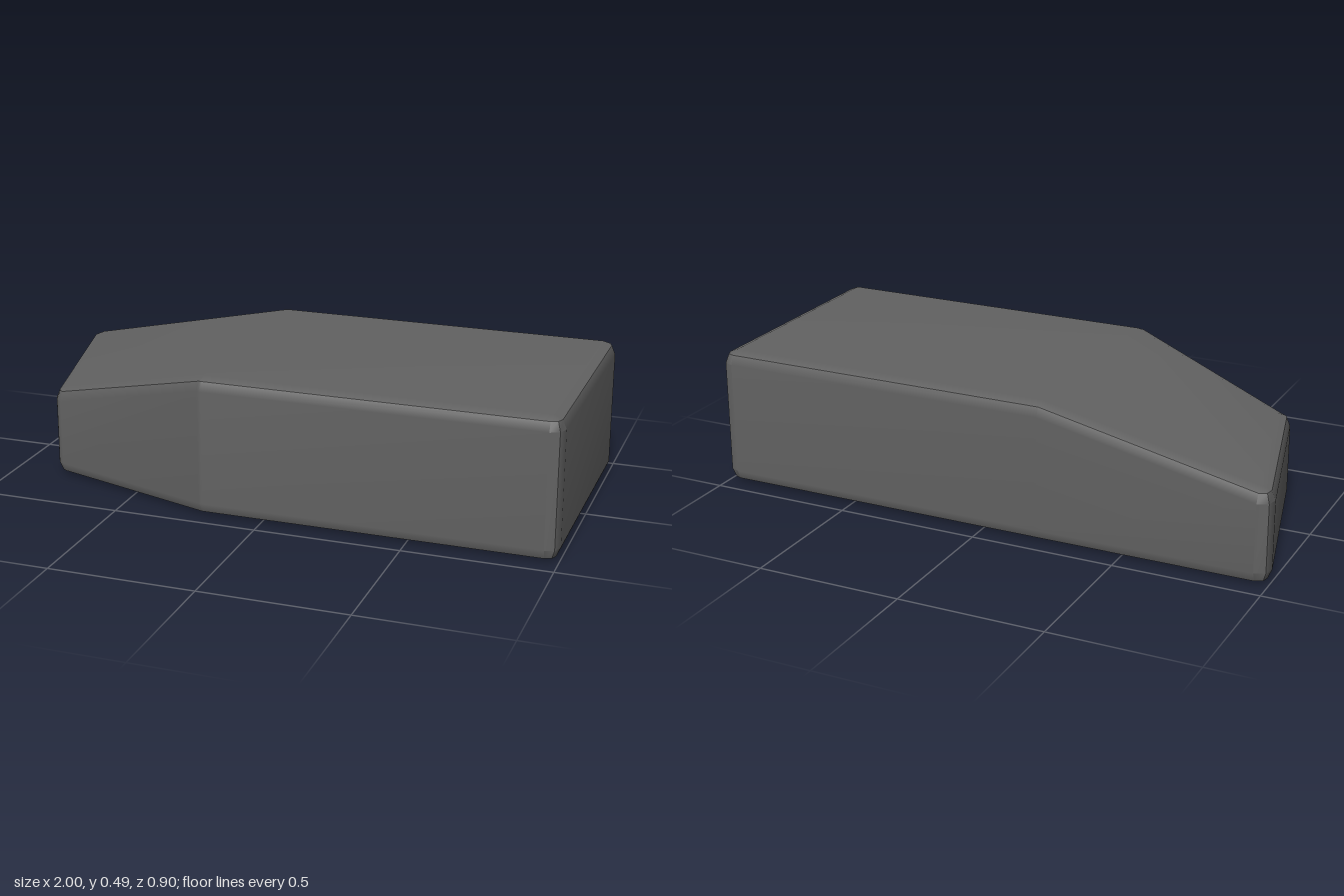
import * as THREE from 'three';

const R = 0.045; // edge rounding
const STEPS = 2; // bevel segments
const CREASE = Math.cos(Math.PI / 6); // sharper edges than this stay hard

// Footprint corners with the height of the top above each: [x, z, height]
const CORNERS = [
  [-1.015, -0.45, 0.325], [-0.21, -0.45, 0.485], [1, -0.45, 0.485],
  [1, 0.45, 0.485], [-0.21, 0.45, 0.485], [-0.835, 0.255, 0.322],
];

// Inset each corner by R and keep the outward angles of its two edges
function insetCorners() {
  const n = CORNERS.length;
  const normals = CORNERS.map(([x, z], i) => {
    const [nx, nz] = CORNERS[(i + 1) % n];
    return new THREE.Vector2(nz - z, x - nx).normalize();
  });
  return CORNERS.map(([x, z, h], i) => {
    const a = normals[(i + n - 1) % n], b = normals[i];
    const k = R / (1 + a.dot(b));
    const start = Math.atan2(a.y, a.x);
    const turn = Math.atan2(a.x * b.y - a.y * b.x, a.dot(b));
    return { x: x - (a.x + b.x) * k, z: z - (a.y + b.y) * k, h, start, turn };
  });
}

// Turn triangles into a geometry with area-weighted normals and hard creases
function creasedGeometry(points, index) {
  const key = (p) => p.toArray().map((v) => Math.round(v * 1e4)).join();
  const triangles = [], shared = {};
  for (let i = 0; i < index.length; i += 3) {
    const corners = [0, 1, 2].map((k) => points[index[i + k]]);
    const [a, b, c] = corners;
    const area = b.clone().sub(a).cross(c.clone().sub(a));
    if (area.length() < 1e-8) continue;
    const face = { corners, area, normal: area.clone().normalize() };
    triangles.push(face);
    for (const p of corners) (shared[key(p)] ??= []).push(face);
  }

  const positions = [], normals = [];
  for (const face of triangles) {
    for (const p of face.corners) {
      const normal = new THREE.Vector3();
      for (const other of shared[key(p)]) {
        if (other.normal.dot(face.normal) > CREASE) normal.add(other.area);
      }
      positions.push(...p.toArray());
      normals.push(...normal.normalize().toArray());
    }
  }
  const geometry = new THREE.BufferGeometry();
  geometry.setAttribute('position', new THREE.Float32BufferAttribute(positions, 3));
  geometry.setAttribute('normal', new THREE.Float32BufferAttribute(normals, 3));
  return geometry;
}

function roundedBlock() {
  const corners = insetCorners();
  const points = [], index = [];
  const count = corners.length * (STEPS + 1);

  // Rings from the bottom cap, around the lower bevel, up to the top cap
  const levels = (STEPS + 1) * 2;
  for (let l = 0; l < levels; l++) {
    const upper = l > STEPS;
    const phi = ((upper ? l - STEPS - 1 : l - STEPS) / STEPS) * Math.PI / 2;
    const r = R * Math.cos(phi);
    for (const c of corners) {
      const y = (upper ? c.h - R : R) + R * Math.sin(phi);
      for (let s = 0; s <= STEPS; s++) {
        const t = c.start + c.turn * s / STEPS;
        points.push(new THREE.Vector3(c.x + r * Math.cos(t), y, c.z + r * Math.sin(t)));
      }
    }
  }
  for (let l = 0; l < levels - 1; l++) {
    for (let i = 0; i < count; i++) {
      const a = l * count + i, b = l * count + (i + 1) % count;
      index.push(a, a + count, b, b, a + count, b + count);
    }
  }

  // Caps: flat part, then the sloping nose
  const top = (levels - 1) * count;
  for (const [a, b, c] of [[1, 4, 3], [1, 3, 2], [0, 4, 1], [0, 5, 4]]) {
    const v = [a, b, c].map((i) => i * (STEPS + 1));
    index.push(top + v[0], top + v[1], top + v[2], v[0], v[2], v[1]);
  }
  return creasedGeometry(points, index);
}

export function createModel() {
  const model = new THREE.Group();
  model.name = 'taperedBlock';
  const body = new THREE.Mesh(roundedBlock(), new THREE.MeshStandardMaterial({ color: 0x626262 }));
  body.name = 'body';
  model.add(body);
  return model;
}
